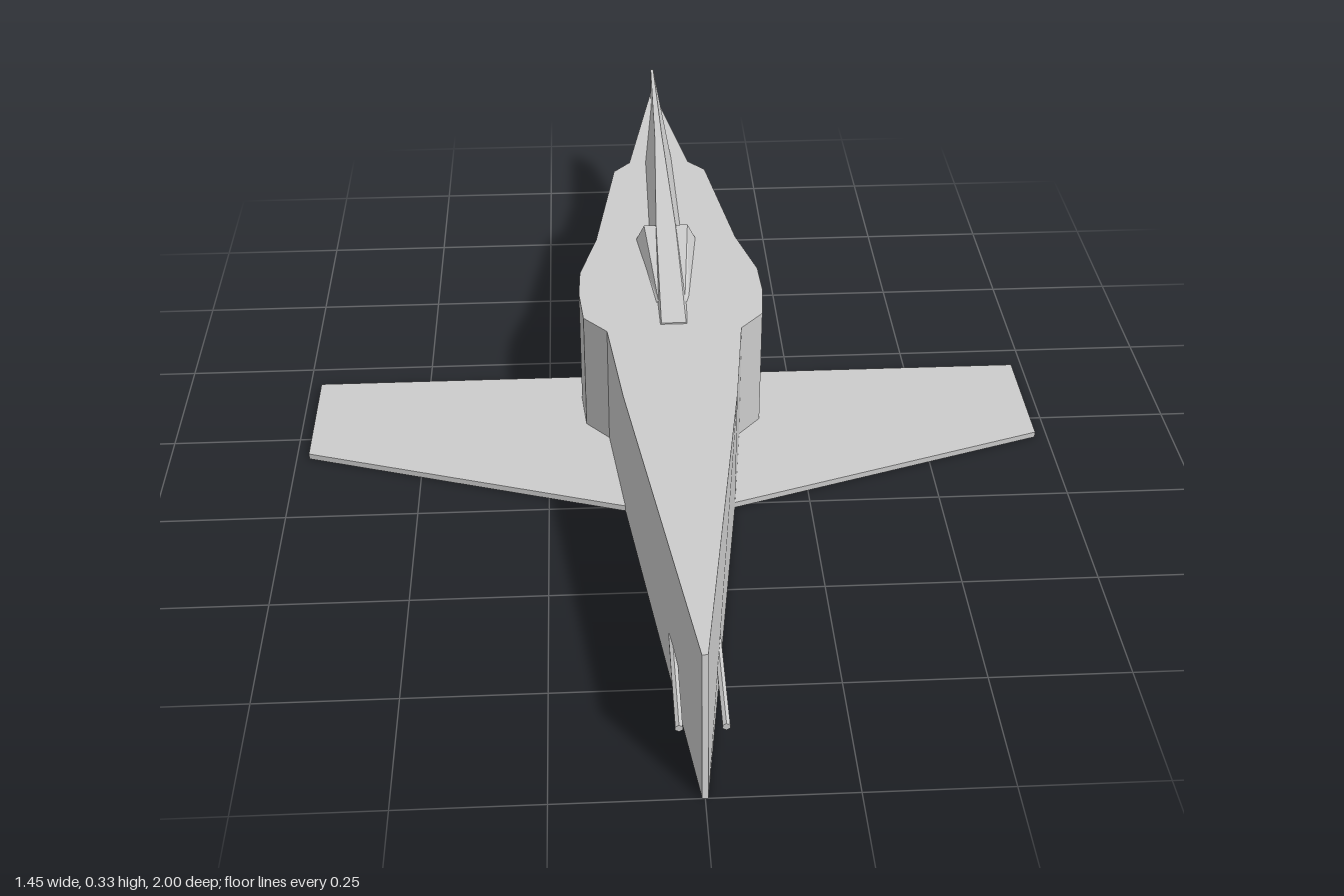
import * as THREE from 'three';

const grey = new THREE.MeshStandardMaterial({ color: 0xcccccc, flatShading: true });

// Skin a row of cross-sections, given from front to back, and cap both ends.
function loft(rings) {
  const n = rings[0].length, pos = [];
  const tri = (a, b, c) => pos.push(...a, ...b, ...c);
  for (let i = 0; i < rings.length - 1; i++) {
    for (let j = 0; j < n; j++) {
      const k = (j + 1) % n, p = rings[i], q = rings[i + 1];
      tri(p[j], p[k], q[j]);
      tri(p[k], q[k], q[j]);
    }
  }
  const front = rings[0], back = rings[rings.length - 1];
  for (let j = 1; j < n - 1; j++) {
    tri(front[0], front[j + 1], front[j]);
    tri(back[0], back[j], back[j + 1]);
  }
  const geo = new THREE.BufferGeometry();
  geo.setAttribute('position', new THREE.Float32BufferAttribute(pos, 3));
  geo.computeVertexNormals();
  return geo;
}

// Symmetric four-sided section: narrower top, wider base.
const trapezoid = (z, xTop, yTop, xBase, yBase) => [
  [xTop, yTop, z], [xBase, yBase, z], [-xBase, yBase, z], [-xTop, yTop, z],
];

export function createModel() {
  const model = new THREE.Group();
  const add = (name, geometry) => {
    const mesh = new THREE.Mesh(geometry, grey);
    mesh.name = name;
    model.add(mesh);
    return mesh;
  };

  // Fuselage: [z top, z bottom, half width, y of lower edge, y of keel]
  const deck = 0.265;
  const stations = [
    [0.955, 1.0, 0.005, 0, 0],
    [0.26, 0.26, 0.105, 0, 0],
    [0.04, 0.04, 0.13, 0, 0],
    [-0.01, -0.01, 0.175, 0, 0],
    [-0.1, -0.1, 0.183, 0, 0],
    [-0.18, -0.17, 0.18, 0, 0],
    [-0.31, -0.31, 0.145, 0, 0],
    [-0.61, -0.61, 0.1, 0.19, 0.108],
    [-0.65, -0.65, 0.065, 0.19, 0.123],
    [-1.0, -1.0, 0.004, 0.25, 0.25],
  ];
  add('fuselage', loft(stations.map(([zt, zb, x, yb, yk]) => [
    [x, deck, zt], [x, yb, zb], [0, yk, zb], [-x, yb, zb], [-x, deck, zt],
  ])));

  // Raised canopy, widest at its rear
  add('canopy', loft([
    trapezoid(-0.06, 0.026, 0.268, 0.034, 0.262),
    trapezoid(-0.31, 0.045, 0.297, 0.063, 0.262),
  ]));

  // Narrow ridge from the canopy nose to the tail fin
  add('spine', loft([
    trapezoid(0.02, 0.024, 0.268, 0.028, 0.262),
    trapezoid(-0.31, 0.02, 0.299, 0.034, 0.262),
    trapezoid(-0.65, 0.008, 0.327, 0.03, 0.262),
    trapezoid(-1.0, 0.003, 0.327, 0.004, 0.25),
  ]));

  for (const [side, s] of [['left', 1], ['right', -1]]) {
    // Thin wing with swept leading edge and straight trailing edge
    const outline = [[0.06, 0.27], [0.105, 0.262], [0.725, 0.065], [0.725, -0.178], [0.06, -0.178]];
    const shape = new THREE.Shape(outline.map(([x, z]) => new THREE.Vector2(s * x, -z)));
    const wing = new THREE.ExtrudeGeometry(shape, { depth: 0.012, bevelEnabled: false });
    add(side + 'Wing', wing.rotateX(-Math.PI / 2));

    // Slim barrel beside the nose
    const barrel = new THREE.CylinderGeometry(0.007, 0.007, 0.22, 6).rotateX(Math.PI / 2);
    add(side + 'Barrel', barrel).position.set(s * 0.038, 0.081, 0.815);
  }
  return model;
}
